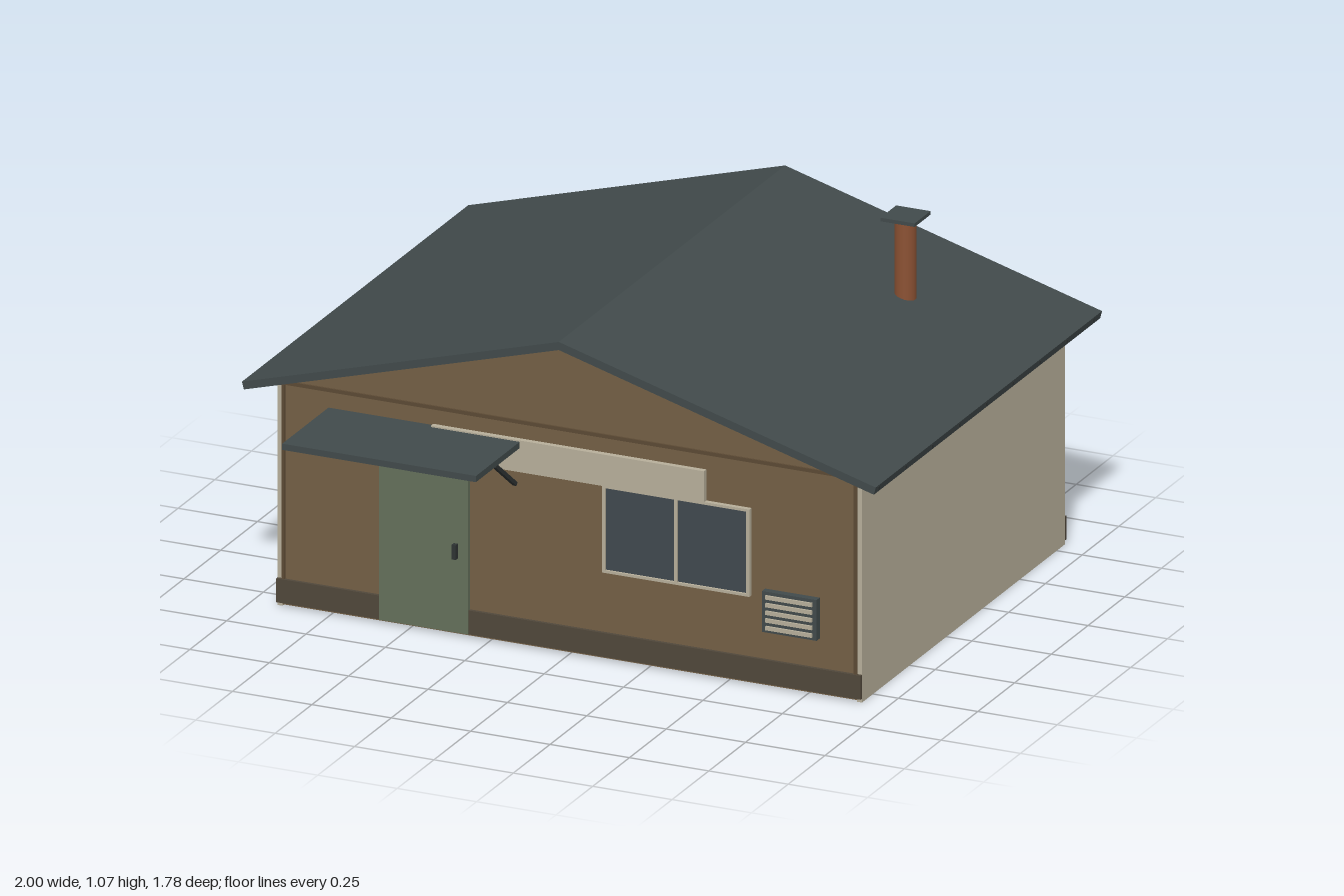
import * as THREE from 'three';

const mat = (name, color) => {
  const m = new THREE.MeshStandardMaterial({ color });
  m.name = name;
  return m;
};

export function createModel() {
  const brown = mat('brown cladding', 0x735f45);
  const cream = mat('cream panel', 0xb7af9a);
  const slate = mat('slate roof', 0x414a4b);
  const plinthMat = mat('dark brown plinth', 0x50473a);
  const trimMat = mat('dark brown trim', 0x5c4a34);
  const green = mat('green door', 0x64705a);
  const glass = mat('dark glass', 0x40484e);
  const rust = mat('rust pipe', 0x8b5133);
  const iron = mat('dark iron', 0x2e3333);

  const model = new THREE.Group();
  model.name = 'cabin';

  const add = (name, geometry, material, parent = model) => {
    const mesh = new THREE.Mesh(geometry, material);
    mesh.name = name;
    parent.add(mesh);
    return mesh;
  };
  // Box given by its low and high limits on each axis
  const box = (name, material, [x0, x1], [y0, y1], [z0, z1], parent = model) => {
    const mesh = add(name, new THREE.BoxGeometry(x1 - x0, y1 - y0, z1 - z0), material, parent);
    mesh.position.set((x0 + x1) / 2, (y0 + y1) / 2, (z0 + z1) / 2);
    return mesh;
  };
  // Outline in x and y, pushed along z
  const prism = (name, material, points, z0, z1) => {
    const shape = new THREE.Shape(points.map(([x, y]) => new THREE.Vector2(x, y)));
    const geometry = new THREE.ExtrudeGeometry(shape, { depth: z1 - z0, bevelEnabled: false });
    geometry.translate(0, 0, z0);
    return add(name, geometry, material);
  };
  const group = (name) => {
    const g = new THREE.Group();
    g.name = name;
    model.add(g);
    return g;
  };

  const front = 0.575, back = -0.805;

  // Walls with gables, cream side panels
  prism('walls', brown, [[-0.905, 0.005], [0.905, 0.005], [0.905, 0.7], [0, 0.957], [-0.905, 0.7]], back, front);
  for (const s of [-1, 1]) {
    const xs = [0.905 * s, 0.92 * s].sort((a, b) => a - b);
    box('sidePanel', cream, xs, [0, 0.695], [back, front]);
  }

  // Plinth, gable trim and corner trim on front and back
  for (const [z, s] of [[front, 1], [back, -1]]) {
    const out = (d) => [z, z + s * d].sort((a, b) => a - b);
    box('plinth', plinthMat, [-0.92, 0.92], [0.012, 0.085], out(0.01));
    box('gableTrim', trimMat, [-0.9, 0.9], [0.681, 0.692], out(0.006));
    for (const x of [-0.901, 0.901]) {
      box('cornerTrim', trimMat, [x - 0.005, x + 0.005], [0.085, 0.69], out(0.005));
    }
  }

  // Roof with small fixings along the eaves
  prism('roof', slate, [[0, 0.982], [-0.998, 0.698], [-0.992, 0.675], [0, 0.957], [0.992, 0.675], [0.998, 0.698]], -0.89, 0.65);
  for (let i = 0; i < 9; i++) {
    const z = -0.83 + i * 0.1825;
    for (const x of [-0.995, 0.995]) {
      box('eaveFixing', iron, [x - 0.005, x + 0.005], [0.685, 0.695], [z - 0.005, z + 0.005]);
    }
  }

  // Chimney pipe and cap
  const pipe = add('chimneyPipe', new THREE.CylinderGeometry(0.032, 0.032, 0.27, 20), rust);
  pipe.position.set(0.567, 0.925, -0.483);
  box('chimneyCap', slate, [0.513, 0.621], [1.056, 1.067], [-0.537, -0.429]);

  // Door and handle
  box('door', green, [-0.595, -0.315], [0.012, 0.53], [front, 0.587]);
  box('doorHandle', iron, [-0.36, -0.347], [0.24, 0.285], [0.587, 0.602]);

  // Canopy over the door on two slanted struts
  box('canopy', slate, [-0.76, -0.15], [0.612, 0.631], [front, 0.89]);
  for (const x of [-0.74, -0.17]) {
    const strut = add('canopyStrut', new THREE.BoxGeometry(0.012, 0.012, 0.18), iron);
    strut.position.set(x, 0.549, 0.652);
    strut.rotation.x = -Math.atan2(0.105, 0.14);
  }

  // Blank sign board
  box('signBoard', cream, [-0.43, 0.43], [0.538, 0.635], [front, 0.592]);

  // Two-pane window
  const win = group('window');
  box('windowGlass', glass, [0.115, 0.565], [0.277, 0.535], [front, 0.583], win);
  for (const x of [0.113, 0.34, 0.567]) {
    box('windowPost', cream, [x - 0.005, x + 0.005], [0.272, 0.54], [front, 0.59], win);
  }
  for (const y of [0.276, 0.536]) {
    box('windowRail', cream, [0.108, 0.572], [y - 0.004, y + 0.004], [front, 0.59], win);
  }

  // Wall vent with pale slats
  const vent = group('vent');
  box('ventBody', slate, [0.615, 0.787], [0.175, 0.3], [front, 0.597], vent);
  for (let i = 0; i < 5; i++) {
    const y = 0.19 + i * 0.0235;
    box('ventSlat', cream, [0.628, 0.774], [y - 0.006, y + 0.006], [0.597, 0.603], vent);
  }

  return model;
}
